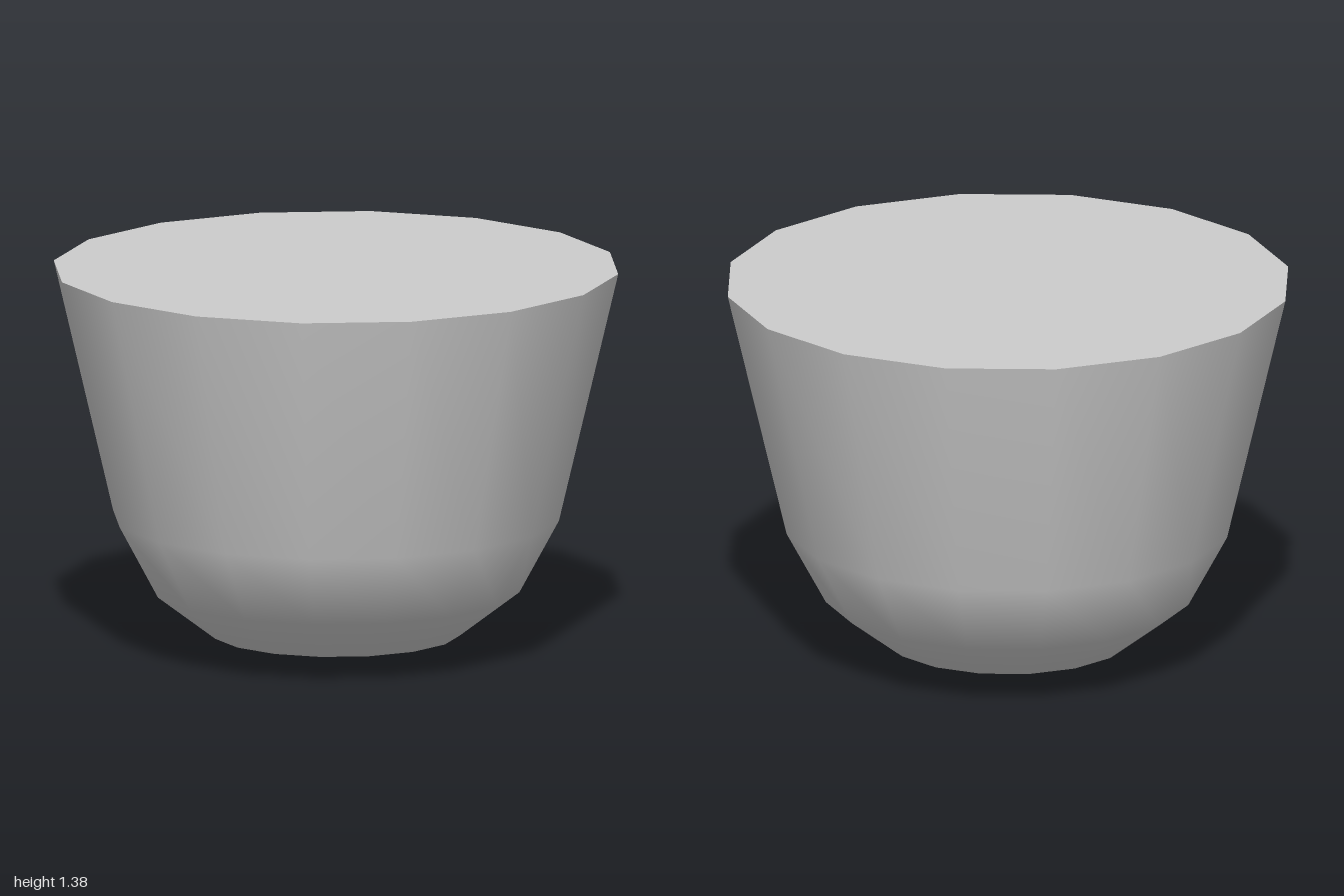
import * as THREE from 'three';

const SIDES = 16;

export function createModel() {
  const group = new THREE.Group();
  const material = new THREE.MeshStandardMaterial({ color: 0xcccccc });
  const add = (name, geometry, y = 0) => {
    const mesh = new THREE.Mesh(geometry, material);
    mesh.name = name;
    mesh.position.y = y;
    group.add(mesh);
  };

  // Smooth flaring wall, curving in towards the base
  const profile = [[0.44, 0.07], [0.65, 0.23], [0.79, 0.49], [1, 1.38]]
    .map(([r, y]) => new THREE.Vector2(r, y));
  add('wall', new THREE.LatheGeometry(profile, SIDES));

  // Flat lid closing the rim
  add('top', new THREE.CircleGeometry(1, SIDES).rotateX(-Math.PI / 2), 1.38);

  // Shallow base: a disc whose centre is pulled down to a point
  const base = new THREE.CircleGeometry(0.44, SIDES).rotateX(Math.PI / 2);
  base.attributes.position.setY(0, -0.07);
  add('base', base, 0.07);

  return group;
}
